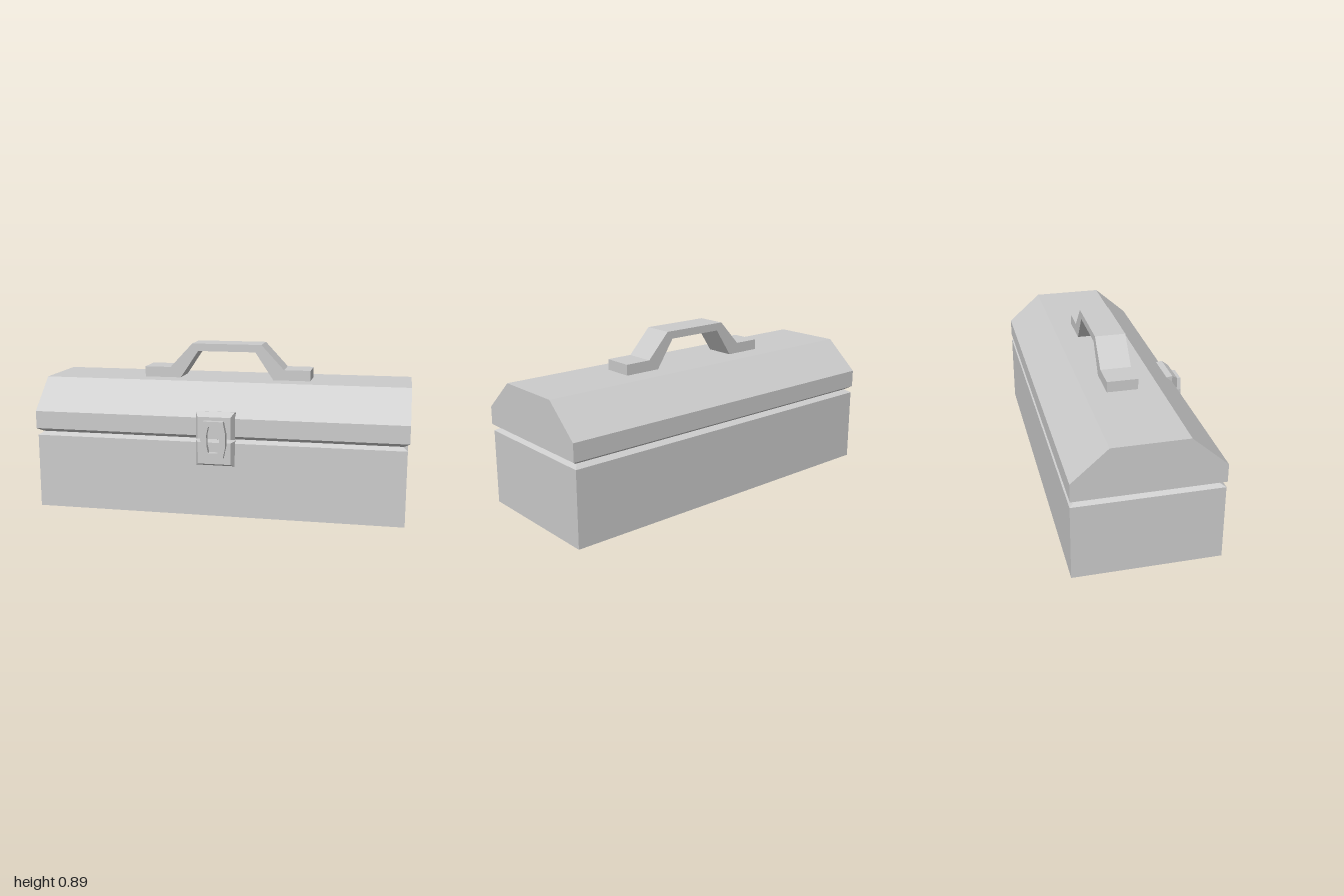
import * as THREE from 'three';

const material = new THREE.MeshStandardMaterial({ color: 0xcccccc, flatShading: true });

function addMesh(parent, name, geometry) {
  const mesh = new THREE.Mesh(geometry, material);
  mesh.name = name;
  parent.add(mesh);
  return mesh;
}

// Closed solid from rectangles stacked along z: [halfWidth, yMin, yMax, z]
function stack(levels) {
  const rings = levels.map(([w, a, b, h]) => [[-w, a, h], [w, a, h], [w, b, h], [-w, b, h]]);
  const pos = [];
  const quad = (a, b, c, d) => pos.push(...a, ...b, ...c, ...a, ...c, ...d);
  for (let i = 0; i + 1 < rings.length; i++) {
    const lo = rings[i], hi = rings[i + 1];
    for (let k = 0; k < 4; k++) {
      const n = (k + 1) % 4;
      quad(lo[k], lo[n], hi[n], hi[k]);
    }
  }
  const first = rings[0], last = rings[rings.length - 1];
  quad(first[3], first[2], first[1], first[0]);
  quad(last[0], last[1], last[2], last[3]);
  const g = new THREE.BufferGeometry();
  g.setAttribute('position', new THREE.Float32BufferAttribute(pos, 3));
  g.computeVertexNormals();
  return g;
}

// The same stack standing upright: [halfWidth, zBack, zFront, y]
function uprightStack(levels) {
  return stack(levels.map(([w, back, front, y]) => [w, -front, -back, y])).rotateX(-Math.PI / 2);
}

// Adds the mirrored half to a right-half outline
function mirrored(half) {
  const left = half.map(([x, y]) => [-x, y]).reverse();
  return [...half, ...left].map(([x, y]) => new THREE.Vector2(x, y));
}

function extrude(shape, depth, z) {
  return new THREE.ExtrudeGeometry(shape, { depth, bevelEnabled: false }).translate(0, 0, z);
}

export function createModel() {
  const box = new THREE.Group();
  box.name = 'toolbox';

  // Lower box with a bevelled rim
  addMesh(box, 'body', uprightStack([
    [0.99, -0.41, 0.345, 0],
    [0.99, -0.41, 0.345, 0.4],
    [0.965, -0.38, 0.315, 0.417],
  ]));

  // Lid with sloped front and back
  addMesh(box, 'lid', uprightStack([
    [0.97, -0.378, 0.315, 0.417],
    [1, -0.41, 0.345, 0.437],
    [1, -0.41, 0.345, 0.532],
    [1, -0.225, 0.16, 0.695],
  ]));

  // Carrying handle: arch with two flat feet
  const arch = mirrored([
    [0.16, 0.845], [0.26, 0.695], [0.463, 0.695],
    [0.463, 0.752], [0.318, 0.752], [0.193, 0.886],
  ]);
  addMesh(box, 'handle', extrude(new THREE.Shape(arch), 0.162, -0.112));

  // Latch: two chamfered plates joined by an open clasp
  const latch = new THREE.Group();
  latch.name = 'latch';
  box.add(latch);
  addMesh(latch, 'upperPlate', stack([
    [0.104, 0.417, 0.56, 0.305],
    [0.104, 0.42, 0.567, 0.345],
    [0.087, 0.428, 0.543, 0.379],
  ]));
  addMesh(latch, 'lowerPlate', stack([
    [0.104, 0.278, 0.416, 0.31],
    [0.104, 0.278, 0.413, 0.345],
    [0.087, 0.293, 0.408, 0.379],
  ]));
  const clasp = new THREE.Shape(mirrored([
    [0.053, 0.33], [0.066, 0.395], [0.066, 0.46], [0.053, 0.525],
  ]));
  clasp.holes.push(new THREE.Path(mirrored([
    [0.025, 0.358], [0.034, 0.4], [0.034, 0.455], [0.025, 0.497],
  ])));
  addMesh(latch, 'clasp', extrude(clasp, 0.031, 0.378));

  return box;
}
